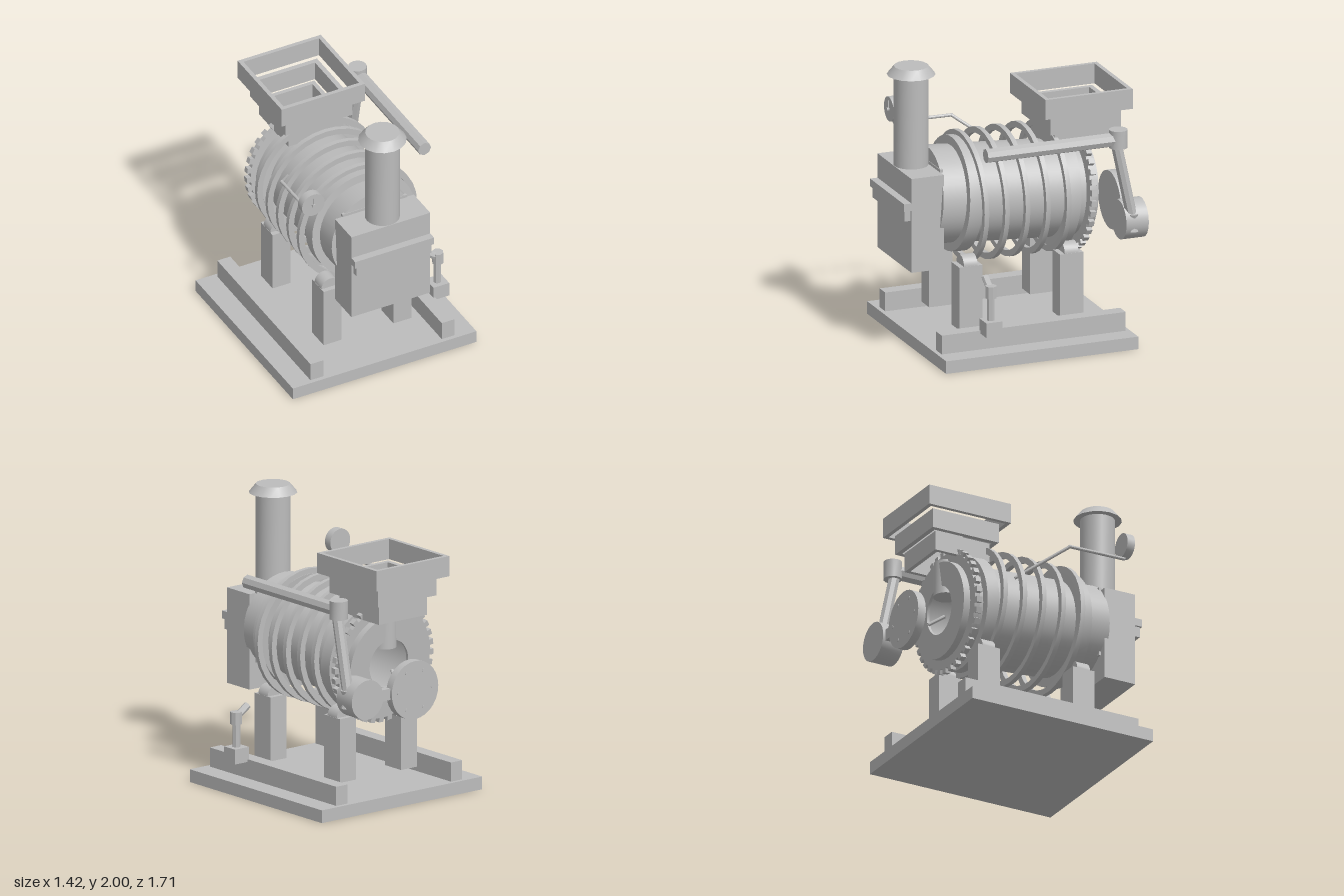
import * as THREE from 'three';
import { toCreasedNormals } from 'three/addons/utils/BufferGeometryUtils.js';

export function createModel() {
  const model = new THREE.Group();
  model.name = 'rotaryRoaster';
  const grey = new THREE.MeshStandardMaterial({ color: 0xbcbcbc });
  grey.name = 'plain grey';

  const add = (name, geo, parent = model) => {
    const m = new THREE.Mesh(geo, grey);
    m.name = name;
    parent.add(m);
    return m;
  };
  // box from its extents on each axis
  const box = (name, x0, x1, y0, y1, z0, z1, parent) =>
    add(name, new THREE.BoxGeometry(x1 - x0, y1 - y0, z1 - z0)
      .translate((x0 + x1) / 2, (y0 + y1) / 2, (z0 + z1) / 2), parent);
  // cylinder or cone between two points
  const rod = (name, a, b, r, sides = 24, r2 = r, parent = model) => {
    const p = new THREE.Vector3(...a), q = new THREE.Vector3(...b);
    const d = q.clone().sub(p);
    const g = toCreasedNormals(new THREE.CylinderGeometry(r2, r, d.length(), sides), 0.55);
    const m = add(name, g, parent);
    m.position.copy(p).add(q).multiplyScalar(0.5);
    m.quaternion.setFromUnitVectors(new THREE.Vector3(0, 1, 0), d.normalize());
    return m;
  };
  // profile of [radius, z] turned about the z axis
  const turned = (name, pts, sides, parent) => {
    const g = new THREE.LatheGeometry(pts.map(p => new THREE.Vector2(...p)), sides);
    return add(name, toCreasedNormals(g.rotateX(Math.PI / 2), 0.5), parent);
  };
  const hoop = (name, rIn, rOut, z, w, sides, parent) => turned(name, [
    [rIn, z - w / 2], [rOut, z - w / 2], [rOut, z + w / 2], [rIn, z + w / 2], [rIn, z - w / 2]], sides, parent);

  // base, rails and supports
  box('basePlate', -0.71, 0.71, 0, 0.09, -0.71, 0.71);
  for (const s of [-1, 1]) {
    const rx = s * 0.508, lx = s * 0.27;
    box('baseRail', rx - 0.05, rx + 0.05, 0.09, 0.225, -0.68, 0.68);
    for (const z of [0.375, -0.37]) {
      box('supportLeg', lx - 0.07, lx + 0.07, 0.17, 0.62, z - 0.086, z + 0.086);
      rod('supportRoller', [lx, 0.62, z - 0.05], [lx, 0.62, z + 0.05], 0.068);
    }
  }

  // tilted drum with an open rear mouth
  const drum = new THREE.Group();
  drum.name = 'drumAssembly';
  drum.position.y = 1.02;
  drum.rotation.x = -0.07;
  model.add(drum);
  turned('drum', [[0, 0.56], [0.32, 0.56], [0.32, -0.55], [0.17, -0.55], [0.17, -0.57],
    [0.34, -0.57], [0.34, 0.58], [0, 0.58]], 40, drum);
  for (const z of [0.36, -0.37]) hoop('ridingTyre', 0.335, 0.4, z, 0.095, 40, drum);

  // toothed drive ring
  hoop('gearRing', 0.335, 0.405, -0.5, 0.04, 40, drum);
  const teeth = 36;
  for (let i = 0; i < teeth; i++) {
    const a = i / teeth * Math.PI * 2;
    const t = add('gearTooth', new THREE.BoxGeometry(0.036, 0.04, 0.04), drum);
    t.position.set(Math.cos(a) * 0.417, Math.sin(a) * 0.417, -0.5);
    t.rotation.z = a;
  }

  // upright hoops standing clear of the drum
  for (let i = -2; i <= 2; i++) {
    hoop('guardHoop', 0.415, 0.458, i * 0.152, 0.034, 32).position.y = 1.02;
  }

  // front smoke box with ledges and seal plate
  box('smokeBox', -0.305, 0.305, 0.615, 1.29, 0.56, 0.8);
  box('upperLedge', -0.305, 0.305, 1.06, 1.115, 0.8, 0.855);
  box('lowerLedge', -0.29, 0.29, 0.985, 1.06, 0.8, 0.845);
  box('sealPlate', -0.25, 0.25, 0.8, 1.31, 0.545, 0.565);

  // chimney
  rod('chimney', [0, 1.28, 0.677], [0, 1.95, 0.677], 0.12, 24);
  rod('chimneyCap', [0, 1.94, 0.677], [0, 2, 0.677], 0.167, 16, 0.118);

  // stepped hopper made of open square frames
  const frame = (half, wall, y0, y1) => {
    const square = (C, h) => new C([[-h, -h], [h, -h], [h, h], [-h, h]].map(p => new THREE.Vector2(...p)));
    const shape = square(THREE.Shape, half);
    shape.holes.push(square(THREE.Path, half - wall));
    const g = new THREE.ExtrudeGeometry(shape, { depth: y1 - y0, bevelEnabled: false });
    add('hopperFrame', g.rotateX(-Math.PI / 2)).position.set(0, y0, -0.507);
  };
  frame(0.322, 0.03, 1.597, 1.74);
  frame(0.26, 0.035, 1.46, 1.6);
  frame(0.213, 0.03, 1.32, 1.46);
  rod('feedChute', [0, 1.09, -0.517], [0, 1.34, -0.517], 0.085);
  rod('burnerPipe', [-0.045, 0.92, -0.55], [0.005, 0.855, -0.65], 0.013, 10);

  // overhead air line and blower
  rod('airLine', [0.508, 1.46, 0.335], [0.508, 1.46, -0.62], 0.05, 8);
  rod('airElbow', [0.508, 1.4, -0.645], [0.508, 1.53, -0.645], 0.064, 16);
  rod('airDownpipe', [0.508, 1.43, -0.63], [0.508, 0.89, -0.745], 0.04, 8);
  rod('jointUpper', [0.525, 0.915, -0.747], [0.525, 0.853, -0.747], 0.04, 8, 0.018);
  rod('jointLower', [0.525, 0.79, -0.747], [0.525, 0.853, -0.747], 0.04, 8, 0.018);
  rod('blowerHousing', [0.42, 0.85, -0.85], [0.42, 0.85, -0.685], 0.14, 28);
  box('blowerOutlet', 0.17, 0.3, 0.81, 0.89, -0.83, -0.78);

  // rear burner disc with bolts
  rod('burnerDisc', [0, 0.85, -0.85], [0, 0.85, -0.79], 0.206, 28);
  for (let i = 0; i < 6; i++) {
    const a = i * Math.PI / 3, x = Math.cos(a) * 0.15, y = 0.85 + Math.sin(a) * 0.15;
    rod('discBolt', [x, y, -0.855], [x, y, -0.845], 0.012, 8);
  }

  // dial gauge on its bent probe
  const probe = [[-0.51, 1.43, 0.6], [-0.51, 1.425, 0.17], [-0.3, 1.2, -0.145]];
  rod('probeRod', probe[0], probe[1], 0.012, 10);
  rod('probeTip', probe[1], probe[2], 0.012, 10);
  add('probeBend', new THREE.SphereGeometry(0.013, 10, 8)).position.set(...probe[1]);
  rod('gaugeCase', [-0.51, 1.525, 0.573], [-0.51, 1.525, 0.632], 0.088, 28);
  rod('gaugeHub', [-0.51, 1.525, 0.63], [-0.51, 1.525, 0.65], 0.013, 12);
  box('gaugeNeedle', -0.514, -0.506, 1.525, 1.585, 0.63, 0.638);

  // sampling valve beside the rail
  box('valveBlock', 0.545, 0.667, 0.205, 0.31, 0.275, 0.395);
  rod('valveStem', [0.605, 0.3, 0.337], [0.605, 0.5, 0.337], 0.028, 8);
  rod('valveHead', [0.608, 0.47, 0.337], [0.608, 0.557, 0.337], 0.04, 8);
  rod('valveSpout', [0.61, 0.515, 0.337], [0.505, 0.587, 0.337], 0.026, 8);
  return model;
}
